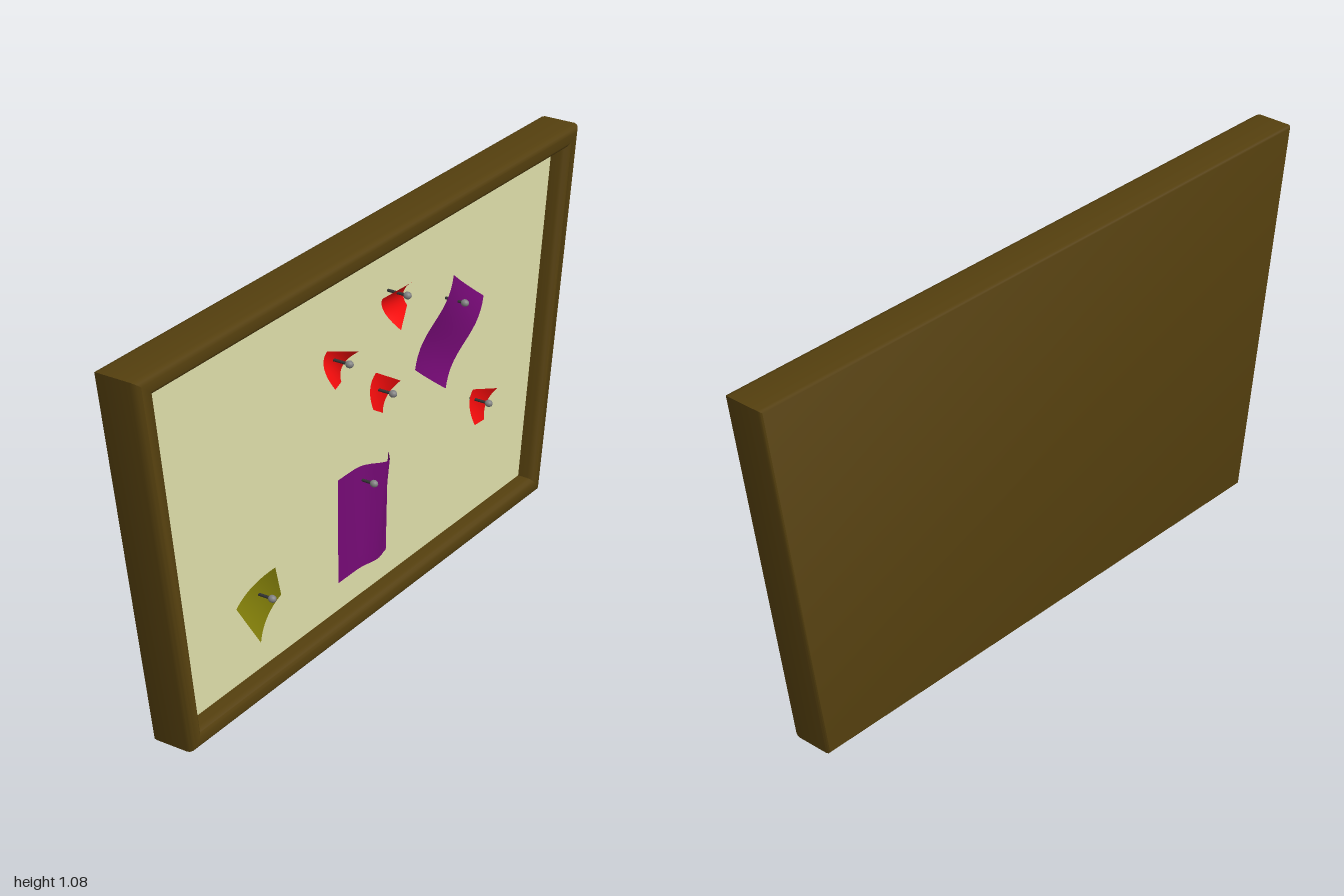
import * as THREE from 'three';
import { toCreasedNormals } from 'three/addons/utils/BufferGeometryUtils.js';

// Everything is laid out in x-y facing +z, then the group is turned to face +x.
const OUTER = [[-0.835, 0], [0.835, 0], [1, 1.075], [-1, 1.075]];
const INNER = [[-0.795, 0.05], [0.795, 0.05], [0.93, 1.02], [-0.93, 1.02]];
const BOARD_Z = -0.005;

const paint = (color, side = THREE.FrontSide) =>
  new THREE.MeshStandardMaterial({ color, side });

function add(parent, name, geometry, material) {
  const mesh = new THREE.Mesh(geometry, material);
  mesh.name = name;
  parent.add(mesh);
  return mesh;
}

// Moulding swept round the trapezoid: [0 = outer .. 1 = inner, depth]
function frameGeometry() {
  const section = [[0.1, -0.08], [0.03, -0.077], [0, -0.07], [0, 0.025], [0.03, 0.033],
    [0.1, 0.04], [0.25, 0.045], [0.7, 0.045], [0.86, 0.04], [0.96, 0.033], [1, 0.025], [1, BOARD_Z]];
  const point = (k, i) => {
    const [t, z] = section[k], o = OUTER[i % 4], n = INNER[i % 4];
    return [o[0] + (n[0] - o[0]) * t, o[1] + (n[1] - o[1]) * t, z];
  };
  const pos = [];
  const quad = (a, b, c, d) => pos.push(...a, ...b, ...c, ...a, ...c, ...d);
  for (let k = 0; k < section.length - 1; k++) {
    for (let i = 0; i < 4; i++) {
      quad(point(k, i), point(k, i + 1), point(k + 1, i + 1), point(k + 1, i));
    }
  }
  quad(point(0, 3), point(0, 2), point(0, 1), point(0, 0)); // flat back
  const g = new THREE.BufferGeometry();
  g.setAttribute('position', new THREE.Float32BufferAttribute(pos, 3));
  return toCreasedNormals(g, 0.7);
}

// Sheet of paper whose depth follows curl(u, v), with u and v from -1 to 1
function paperGeometry(w, h, curl) {
  const g = new THREE.PlaneGeometry(w, h, 14, 14);
  const p = g.attributes.position;
  for (let i = 0; i < p.count; i++) {
    const u = p.getX(i) / (w / 2), v = p.getY(i) / (h / 2);
    p.setZ(i, Math.max(BOARD_Z + 0.004, curl(u, v)));
  }
  g.computeVertexNormals();
  return g;
}

// Curl rules
const bulge = (u, v) => 0.014 + (0.03 + 0.017 * v) * Math.exp(-(((u - 0.5) / 0.38) ** 2));
const wave = (u, v) => 0.02 + 0.014 * Math.sin(v * 2.6) + 0.006 * u * u;
const cup = (u, v) => 0.012 + 0.014 * v * v + 0.012 * u * v;
const lift = (u, v) => 0.016 + 0.022 * v * v + 0.02 * u * v;
const fold = (u, v) => 0.014 + 0.012 * u * u + 0.014 * u * v;

const RED = 0xf50c0c, PURPLE = 0x760a76, OLIVE = 0x84800a;
const NOTES = [
  { name: 'smallNote', color: RED, at: [-0.175, 0.787], size: [0.088, 0.09], turn: -15, curl: lift, pin: [-0.177, 0.807, 0.077] },
  { name: 'smallNote', color: RED, at: [0.102, 0.862], size: [0.094, 0.092], turn: 17, curl: lift, pin: [0.104, 0.889, 0.067] },
  { name: 'smallNote', color: RED, at: [0.037, 0.627], size: [0.094, 0.094], turn: -31, curl: cup, pin: [0.038, 0.635, 0.067] },
  { name: 'smallNote', color: RED, at: [0.535, 0.39], size: [0.093, 0.096], turn: -16, curl: cup, pin: [0.52, 0.411, 0.067] },
  { name: 'largeNote', color: PURPLE, at: [-0.045, 0.302], size: [0.222, 0.304], turn: 0, curl: bulge, pin: [-0.05, 0.411, 0.067] },
  { name: 'largeNote', color: PURPLE, at: [0.359, 0.68], size: [0.193, 0.272], turn: -37, curl: wave, pin: [0.386, 0.763, 0.067] },
  { name: 'squareNote', color: OLIVE, at: [-0.506, 0.262], size: [0.146, 0.133], turn: 28, curl: fold, pin: [-0.509, 0.287, 0.067] },
];

// Push pin: thin shaft into the board and a rounded head
function makePin([x, y, tip]) {
  const pin = new THREE.Group();
  pin.name = 'pin';
  pin.position.set(x, y, 0);
  const length = tip - 0.01 - BOARD_Z;
  const shaft = add(pin, 'pinShaft', new THREE.CylinderGeometry(0.004, 0.004, length, 10), paint(0x333333));
  shaft.rotation.x = Math.PI / 2;
  shaft.position.z = BOARD_Z + length / 2;
  const head = add(pin, 'pinHead', new THREE.SphereGeometry(0.01, 16, 12), paint(0x808080));
  head.scale.z = 1.15;
  head.position.z = tip - 0.0115;
  return pin;
}

export function createModel() {
  const model = new THREE.Group();
  model.name = 'noticeBoard';
  const layout = new THREE.Group();
  layout.name = 'boardAssembly';
  layout.rotation.y = Math.PI / 2;
  model.add(layout);

  add(layout, 'frame', frameGeometry(), paint(0x543f0e));

  const panel = new THREE.Shape(INNER.map(([x, y]) => new THREE.Vector2(x, y)));
  add(layout, 'boardPanel', new THREE.ShapeGeometry(panel), paint(0xdedeaa)).position.z = BOARD_Z;

  for (const n of NOTES) {
    const note = add(layout, n.name, paperGeometry(...n.size, n.curl), paint(n.color, THREE.DoubleSide));
    note.position.set(n.at[0], n.at[1], 0);
    note.rotation.z = THREE.MathUtils.degToRad(n.turn);
    layout.add(makePin(n.pin));
  }
  return model;
}
